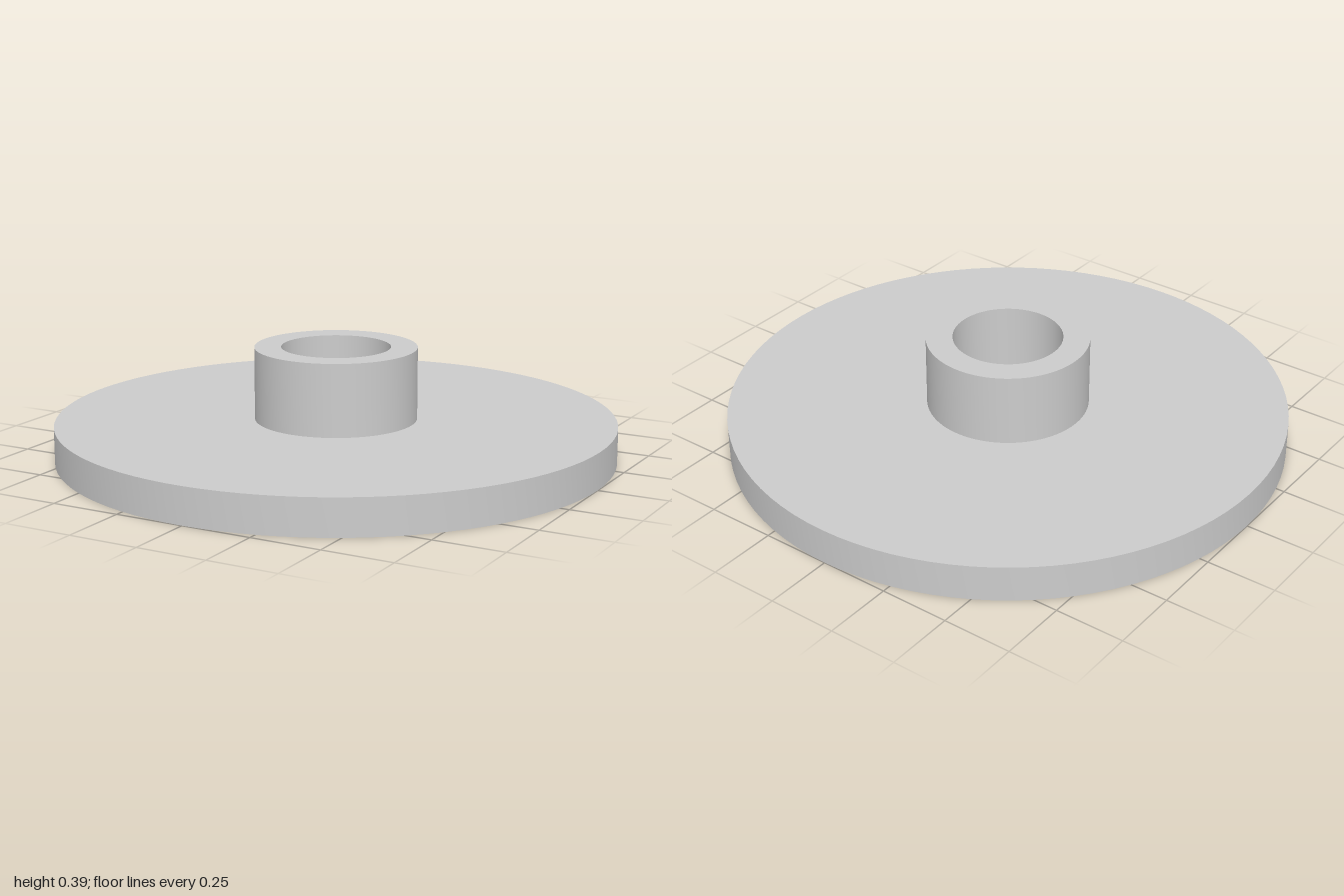
import * as THREE from 'three';
import { toCreasedNormals } from 'three/addons/utils/BufferGeometryUtils.js';

const SEGMENTS = 96;
const OUTER = 1, HUB = 0.29, BORE = 0.195, LIP = 0.222, HOLE = 0.1;
const WEB = 0.065, PLATE = 0.13, TOP = 0.39;

const material = new THREE.MeshStandardMaterial({ color: 0xcccccc });

// Turned part from [radius, height] points, running up the outside and down the inside
function turned(name, profile) {
  const points = profile.map(([r, y]) => new THREE.Vector2(r, y));
  const geometry = toCreasedNormals(new THREE.LatheGeometry(points, SEGMENTS), Math.PI / 6);
  const mesh = new THREE.Mesh(geometry, material);
  mesh.name = name;
  return mesh;
}

export function createModel() {
  const group = new THREE.Group();
  group.name = 'flangedHub';

  // Wide disc, open on the underside where the recess sits
  group.add(turned('flange', [[HUB, 0], [OUTER, 0], [OUTER, PLATE], [HUB, PLATE]]));

  // Hollow collar standing on the disc
  group.add(turned('collar', [[HUB, PLATE], [HUB, TOP], [BORE, TOP], [BORE, PLATE]]));

  // Floor of the collar bore with its through hole
  group.add(turned('boreFloor', [[BORE, PLATE], [HOLE, PLATE], [HOLE, WEB], [BORE, WEB]]));

  // Underside recess: thin lip ring inside an annular groove
  group.add(turned('lipAndGroove', [[BORE, WEB], [BORE, 0], [LIP, 0], [LIP, WEB], [HUB, WEB], [HUB, 0]]));

  return group;
}
